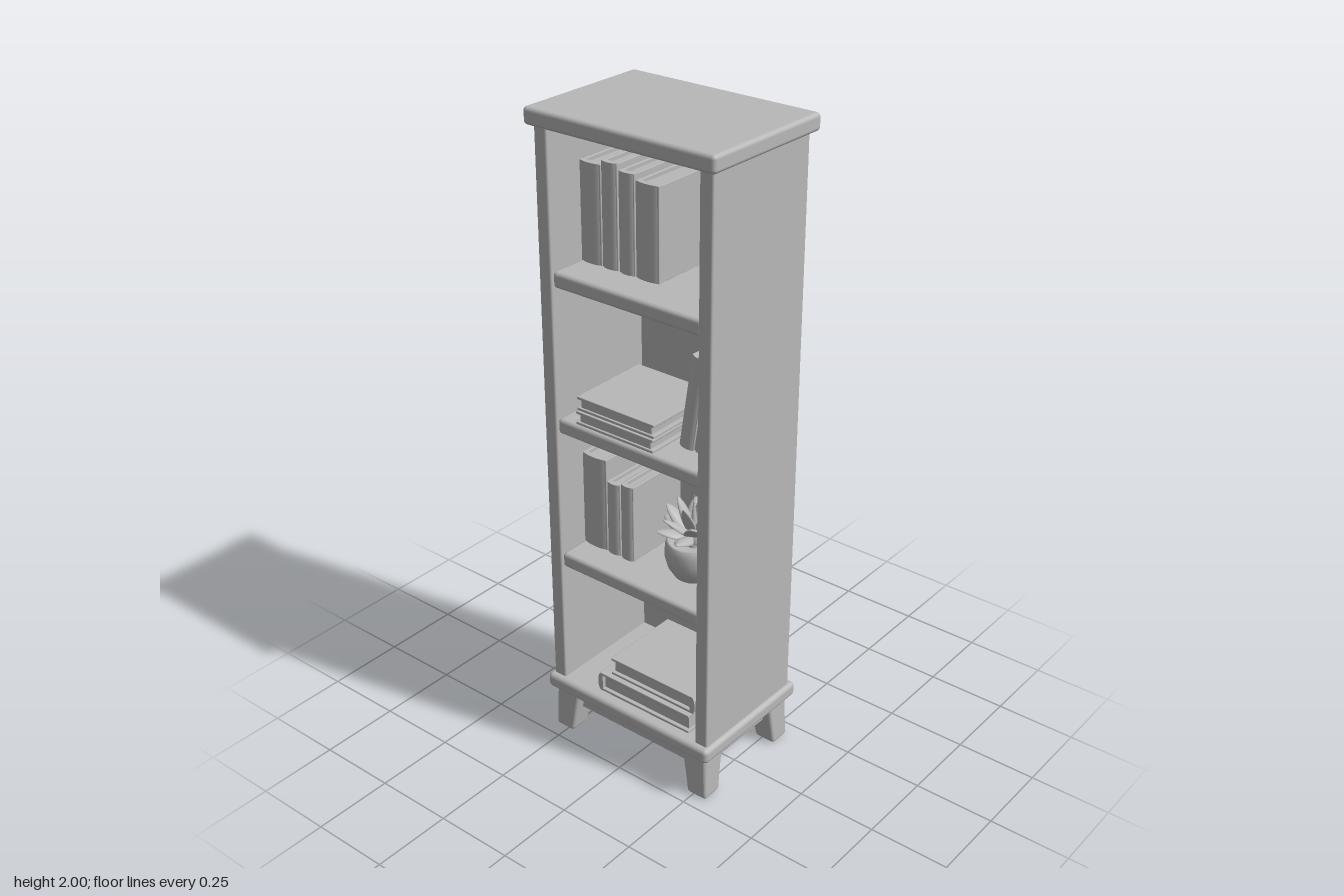
import * as THREE from 'three';
import { RoundedBoxGeometry } from 'three/addons/geometries/RoundedBoxGeometry.js';

const grey = new THREE.MeshStandardMaterial({ color: 0xb8b8b8 });
grey.name = 'plain grey';

function add(parent, name, geometry, x = 0, y = 0, z = 0) {
  const mesh = new THREE.Mesh(geometry, grey);
  mesh.name = name;
  mesh.position.set(x, y, z);
  parent.add(mesh);
  return mesh;
}

// Softly rounded board given by its limits
function board(parent, name, [x0, x1], [y0, y1], [z0, z1], r = 0.006) {
  return add(parent, name, new RoundedBoxGeometry(x1 - x0, y1 - y0, z1 - z0, 3, r),
    (x0 + x1) / 2, (y0 + y1) / 2, (z0 + z1) / 2);
}

// Upright book resting on y = 0: spine to the front, pages inset on the other edges
function book(t, h, d) {
  const g = new THREE.Group();
  g.name = 'book';
  const c = 0.009;
  for (const s of [-1, 1]) {
    add(g, 'cover', new RoundedBoxGeometry(c, h, d, 1, 0.002), s * (t - c) / 2, h / 2, 0);
  }
  const spine = new THREE.CylinderGeometry(t / 2, t / 2, h, 16, 1, false, -Math.PI / 2, Math.PI);
  spine.scale(1, 1, 0.012 / (t / 2));
  add(g, 'spine', spine, 0, h / 2, d / 2 - 0.006);
  add(g, 'spineBack', new THREE.BoxGeometry(t - 0.001, h, 0.008), 0, h / 2, d / 2 - 0.008);
  add(g, 'pages', new THREE.BoxGeometry(t - c, h - 0.024, d - 0.018), 0, h / 2, -0.003);
  return g;
}

// Row of upright books: [left, right, height]
function bookRow(parent, name, y, front, depth, rows) {
  const row = new THREE.Group();
  row.name = name;
  for (const [x0, x1, h] of rows) {
    const b = book(x1 - x0, h, depth);
    b.position.set((x0 + x1) / 2, y, front - depth / 2);
    row.add(b);
  }
  parent.add(row);
}

// Book lying flat; turn chooses the side the spine faces
function flatBook(parent, [x0, x1], [y0, y1], [z0, z1], turn) {
  const sideways = Math.abs(Math.sin(turn)) > 0.5;
  const w = x1 - x0, d = z1 - z0;
  const h = sideways ? d : w;
  const b = book(y1 - y0, h, sideways ? w : d);
  b.position.x = h / 2;
  b.rotation.z = Math.PI / 2;
  const holder = new THREE.Group();
  holder.name = 'flatBook';
  holder.add(b);
  holder.rotation.y = turn;
  holder.position.set((x0 + x1) / 2, (y0 + y1) / 2, (z0 + z1) / 2);
  parent.add(holder);
}

// Tapered leg whose foot leans outwards
function legGeometry(sx, sz) {
  const geo = new RoundedBoxGeometry(0.09, 0.16, 0.09, 3, 0.012);
  const p = geo.attributes.position;
  for (let i = 0; i < p.count; i++) {
    const k = 0.5 - p.getY(i) / 0.16;
    const s = 1 - 0.24 * k;
    p.setX(i, p.getX(i) * s + sx * 0.016 * k);
    p.setZ(i, p.getZ(i) * s + sz * 0.014 * k);
  }
  geo.computeVertexNormals();
  return geo;
}

// Fleshy pointed leaf growing up from the origin
function leafGeometry(length, width) {
  const geo = new THREE.SphereGeometry(1, 12, 12);
  const p = geo.attributes.position;
  for (let i = 0; i < p.count; i++) {
    const v = (p.getY(i) + 1) / 2;
    const taper = 0.55 + 0.9 * v - 0.95 * v * v;
    const x = p.getX(i) * width / 2 * taper * 1.4;
    p.setXYZ(i, x, v * length, p.getZ(i) * 0.008 + x * x * 10 + 0.018 * v * v);
  }
  geo.computeVertexNormals();
  return geo;
}

function plant() {
  const g = new THREE.Group();
  g.name = 'pottedPlant';
  const profile = [[0, 0], [0.05, 0], [0.058, 0.006], [0.076, 0.035], [0.085, 0.07], [0.084, 0.1],
    [0.08, 0.118], [0.074, 0.12], [0.07, 0.112], [0.068, 0.1], [0, 0.1]];
  add(g, 'pot', new THREE.LatheGeometry(profile.map(([x, y]) => new THREE.Vector2(x, y)), 32));
  // Rings of leaves: count, tilt, length, width, start angle
  for (const [n, tilt, length, width, start] of [
    [7, 1.12, 0.115, 0.05, 0.2], [6, 0.72, 0.125, 0.05, 0.6], [4, 0.3, 0.13, 0.04, 0.1]]) {
    for (let i = 0; i < n; i++) {
      const leaf = add(g, 'leaf', leafGeometry(length, width), 0, 0.125, 0);
      leaf.rotation.order = 'YXZ';
      leaf.rotation.set(tilt, start + i * Math.PI * 2 / n, 0);
    }
  }
  add(g, 'bud', new THREE.ConeGeometry(0.018, 0.17, 10), 0, 0.185, 0);
  add(g, 'stem', new THREE.CylinderGeometry(0.015, 0.018, 0.05, 12), 0, 0.115, 0);
  return g;
}

export function createModel() {
  const model = new THREE.Group();
  model.name = 'bookcase';

  // Case
  board(model, 'topBoard', [-0.317, 0.317], [1.95, 2], [-0.226, 0.225], 0.012);
  board(model, 'baseBoard', [-0.312, 0.312], [0.148, 0.197], [-0.224, 0.224], 0.015);
  board(model, 'rightSide', [-0.298, -0.254], [0.18, 1.96], [-0.203, 0.204]);
  board(model, 'leftSide', [0.254, 0.298], [0.18, 1.96], [-0.203, 0.204]);
  board(model, 'backPanel', [-0.29, 0.29], [0.18, 1.96], [-0.203, -0.175], 0.004);
  for (const y of [0.643, 1.093, 1.543]) {
    board(model, 'shelf', [-0.258, 0.258], [y - 0.048, y], [-0.18, 0.195], 0.012);
  }

  // Underframe and legs
  board(model, 'apron', [-0.262, 0.262], [0.08, 0.16], [-0.172, 0.172]);
  for (const sx of [-1, 1]) {
    for (const sz of [-1, 1]) {
      add(model, 'leg', legGeometry(sx, sz), sx * 0.247, 0.08, sz * 0.158);
    }
  }

  // Upright books
  bookRow(model, 'topBooks', 1.542, 0.08, 0.22,
    [[-0.252, -0.178, 0.29], [-0.175, -0.12, 0.305], [-0.115, -0.06, 0.29], [-0.056, 0.024, 0.275]]);
  bookRow(model, 'lowerBooks', 0.642, 0.1, 0.22,
    [[-0.252, -0.162, 0.305], [-0.159, -0.111, 0.24], [-0.107, -0.06, 0.25]]);

  // Leaning books
  for (const x of [0.138, 0.19]) {
    const b = book(0.048, 0.29, 0.21);
    b.position.set(x, 1.097, 0);
    b.rotation.z = -0.15;
    model.add(b);
  }

  // Stacked books
  flatBook(model, [-0.195, 0.085], [1.092, 1.134], [-0.09, 0.185], Math.PI);
  flatBook(model, [-0.195, 0.085], [1.135, 1.178], [-0.09, 0.18], Math.PI);
  flatBook(model, [-0.13, 0.215], [0.196, 0.26], [-0.1, 0.185], -Math.PI / 2);
  flatBook(model, [-0.095, 0.22], [0.261, 0.32], [-0.1, 0.17], Math.PI / 2);

  // Plant
  const pot = plant();
  pot.position.set(0.117, 0.642, 0.04);
  model.add(pot);
  return model;
}
